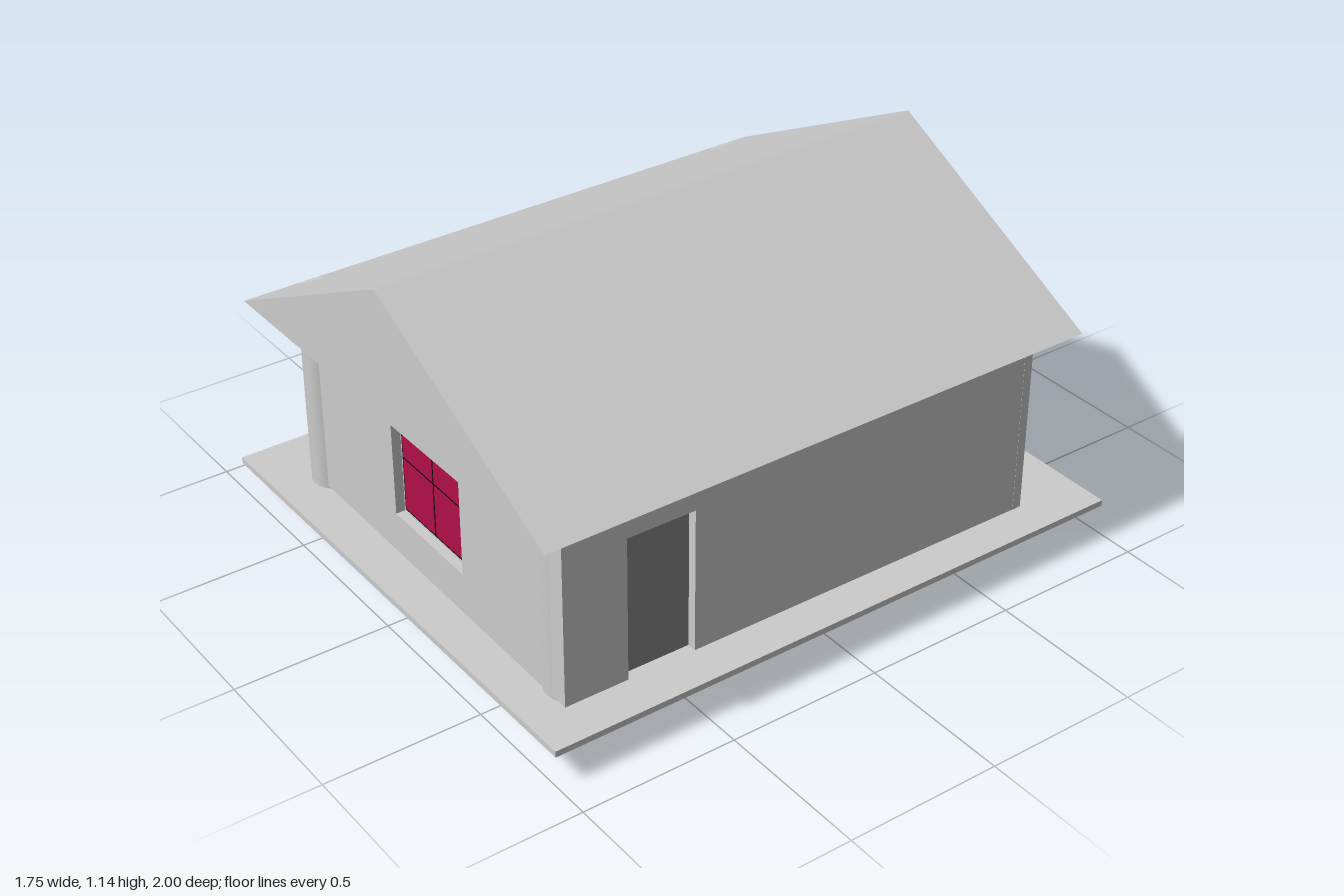
import * as THREE from 'three';

const grey = new THREE.MeshStandardMaterial({ color: 0xcccccc });
const doorGrey = new THREE.MeshStandardMaterial({ color: 0x888888 });
const red = new THREE.MeshStandardMaterial({ color: 0xb01048 });
const black = new THREE.MeshStandardMaterial({ color: 0x0c0c0c });

const WALL_BASE = 0.13, WALL_HEIGHT = 0.61, THICK = 0.03;

function add(parent, name, geometry, material, x = 0, y = 0, z = 0) {
  const mesh = new THREE.Mesh(geometry, material);
  mesh.name = name;
  mesh.position.set(x, y, z);
  parent.add(mesh);
  return mesh;
}

function box(parent, name, material, x0, x1, y0, y1, z0, z1) {
  return add(parent, name, new THREE.BoxGeometry(x1 - x0, y1 - y0, z1 - z0), material,
    (x0 + x1) / 2, (y0 + y1) / 2, (z0 + z1) / 2);
}

const points = (list) => list.map(([x, y]) => new THREE.Vector2(x, y));

// Wall between two floor corners [x, z]; local x runs from p to q, local z points outward
function wall(parent, name, p, q, opening) {
  const group = new THREE.Group();
  group.name = name;
  const dx = q[0] - p[0], dz = q[1] - p[1], w = Math.hypot(dx, dz);
  group.position.set(p[0], WALL_BASE, p[1]);
  group.rotation.y = Math.atan2(-dz, dx);

  const outline = [[0, 0]];
  let hole = null;
  if (opening) {
    const { x0, x1, y0, y1 } = opening;
    if (y0 === 0) outline.push([x0, 0], [x0, y1], [x1, y1], [x1, 0]);
    else hole = new THREE.Path(points([[x0, y0], [x0, y1], [x1, y1], [x1, y0]]));
  }
  outline.push([w, 0], [w, WALL_HEIGHT], [0, WALL_HEIGHT]);
  const shape = new THREE.Shape(points(outline));
  if (hole) shape.holes.push(hole);
  const geometry = new THREE.ExtrudeGeometry(shape, { depth: THICK, bevelEnabled: false });
  add(group, name + 'Panel', geometry, grey, 0, 0, -THICK);
  parent.add(group);
  return group;
}

export function createModel() {
  const model = new THREE.Group();
  model.name = 'stiltHouse';

  // Deck
  box(model, 'deck', grey, -0.875, 0.875, 0.1, 0.12, -1, 1);

  // Round posts from the ground into the roof
  for (const x of [-0.615, 0.665]) {
    for (const z of [-0.717, 0.813]) {
      add(model, 'post', new THREE.CylinderGeometry(0.073, 0.073, 0.78, 32), grey, x, 0.39, z);
    }
  }

  // Walls, slightly out of square so the posts stand proud of them
  const FL = [-0.656, 0.865], FR = [0.748, 0.883], BR = [0.762, -0.765], BL = [-0.656, -0.75];
  const win = { x0: 0.516, x1: 0.886, y0: 0.135, y1: 0.525 };
  const door = { x0: 0.208, x1: 0.433, y0: 0, y1: 0.47 };
  const front = wall(model, 'frontWall', FL, FR, win);
  const side = wall(model, 'doorWall', FR, BR, door);
  wall(model, 'backWall', BR, BL);
  wall(model, 'plainSideWall', BL, FL);

  // Window: recessed backing, dark frame, four panes divided by thin bars
  const e = 0.012, bar = 0.004;
  const { x0, x1, y0, y1 } = win;
  box(front, 'windowBacking', grey, x0 - 0.02, x1 + 0.02, y0 - 0.02, y1 + 0.02, -0.05, -THICK);
  box(front, 'windowFrame', black, x0 + e, x1 - e, y0 + e, y1 - e, -0.04, -0.026);
  const xs = [x0 + e + 0.007, (x0 + x1) / 2 - bar, (x0 + x1) / 2 + bar, x1 - e - 0.007];
  const ys = [y0 + e + 0.007, (y0 + y1) / 2 - bar, (y0 + y1) / 2 + bar, y1 - e - 0.007];
  for (const i of [0, 2]) {
    for (const j of [0, 2]) {
      box(front, 'windowPane', red, xs[i], xs[i + 1], ys[j], ys[j + 1], -0.035, -0.024);
    }
  }

  // Door leaf set back in its opening
  box(side, 'door', doorGrey, door.x0 - 0.01, door.x1 + 0.01, 0, door.y1 + 0.01, -0.05, -THICK);

  // Gabled roof
  const gable = new THREE.Shape(points([[-0.75, 0.74], [0.85, 0.74], [0.05, 1.145]]));
  add(model, 'roof', new THREE.ExtrudeGeometry(gable, { depth: 1.87, bevelEnabled: false }),
    grey, 0, 0, -0.87);

  return model;
}
